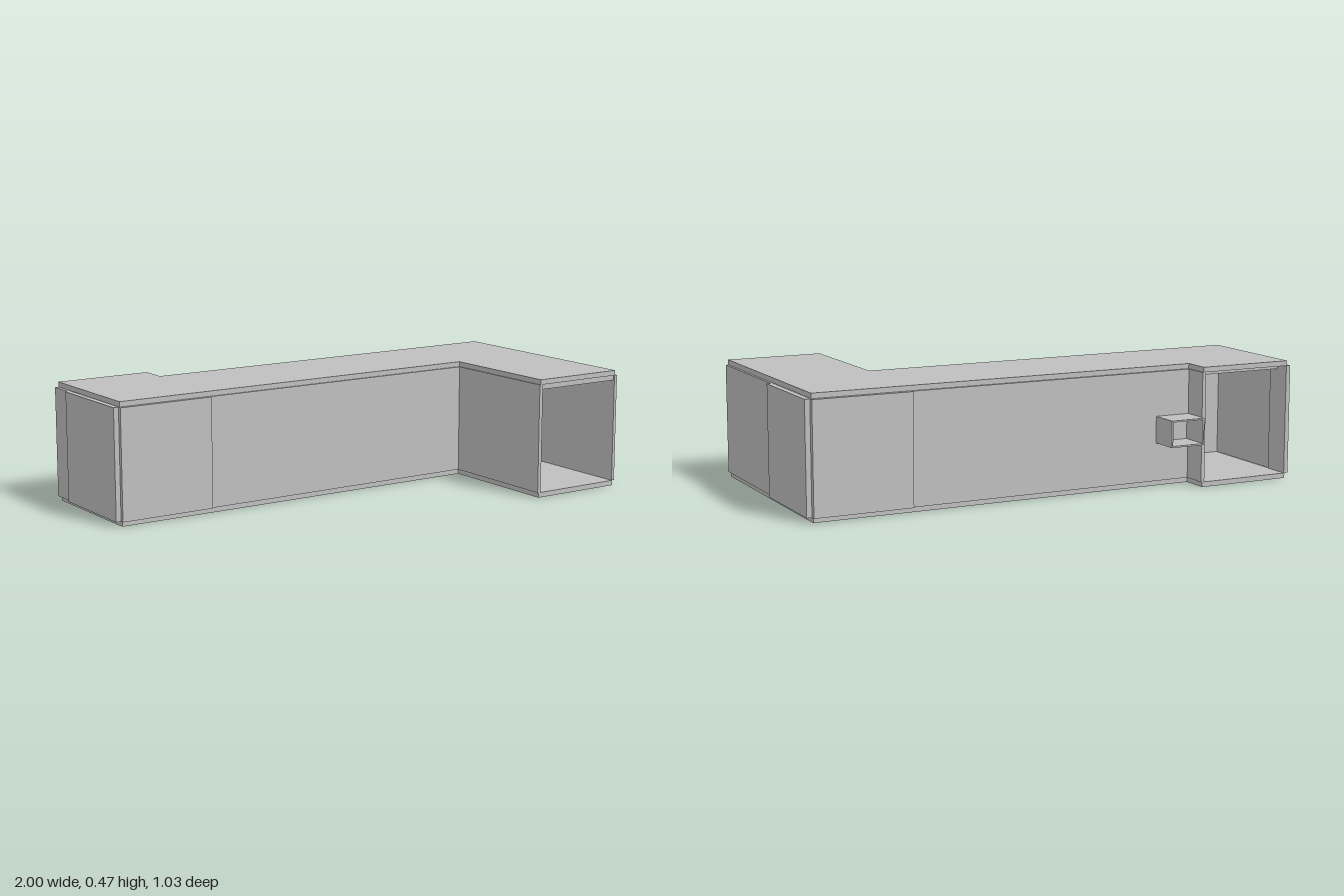
import * as THREE from 'three';

const grey = new THREE.MeshStandardMaterial({ color: 0xbfbfbf, side: THREE.DoubleSide });
grey.name = 'light grey';

// Box given by its lower and upper limits on each axis
function block(name, [x0, x1], [y0, y1], [z0, z1]) {
  const mesh = new THREE.Mesh(new THREE.BoxGeometry(x1 - x0, y1 - y0, z1 - z0), grey);
  mesh.position.set((x0 + x1) / 2, (y0 + y1) / 2, (z0 + z1) / 2);
  mesh.name = name;
  return mesh;
}

// Z-shaped slab that closes the corridor above and below
function slab(name, y, height) {
  const outline = [
    [-0.975, 0], [0.59, 0], [0.59, 0.515], [0.975, 0.515],
    [0.975, -0.39], [-0.59, -0.39], [-0.59, -0.5], [-0.975, -0.5],
  ];
  const shape = new THREE.Shape(outline.map(([x, z]) => new THREE.Vector2(x, -z)));
  const geometry = new THREE.ExtrudeGeometry(shape, { depth: height, bevelEnabled: false });
  geometry.rotateX(-Math.PI / 2);
  const mesh = new THREE.Mesh(geometry, grey);
  mesh.position.y = y;
  mesh.name = name;
  return mesh;
}

export function createModel() {
  const model = new THREE.Group();
  model.name = 'corridor';

  model.add(slab('floor', 0, 0.02), slab('ceiling', 0.45, 0.02));

  // Upright wall panels, as x and z limits
  const wallHeight = [0.02, 0.45];
  const walls = [
    ['frontLongWall', [-0.595, 0.59], [-0.008, 0.007]],
    ['frontEndWall', [-0.98, -0.595], [-0.008, 0.015]],
    ['backLongWall', [-0.59, 0.59], [-0.4, -0.385]],
    ['backEndWall', [0.59, 0.98], [-0.41, -0.387]],
    ['leftMainWall', [0.977, 1], [-0.39, 0]],
    ['leftBranchWall', [0.972, 0.985], [0, 0.515]],
    ['frontBranchInnerWall', [0.585, 0.6], [0, 0.515]],
    ['rightMainWall', [-1, -0.977], [-0.39, 0]],
    ['rightBranchWall', [-0.99, -0.972], [-0.5, -0.39]],
    ['backBranchInnerWall', [-0.6, -0.585], [-0.5, -0.39]],
  ];
  for (const [name, x, z] of walls) model.add(block(name, x, wallHeight, z));

  // Narrow beams under the ceiling at both openings
  model.add(block('frontLintel', [0.6, 0.972], [0.43, 0.455], [0.495, 0.51]));
  model.add(block('backLintel', [-0.972, -0.6], [0.43, 0.455], [-0.44, -0.42]));

  // Small open duct that passes through the back wall
  const duct = new THREE.Group();
  duct.name = 'sideDuct';
  const z = [-0.517, -0.22];
  duct.add(
    block('ductBottom', [-0.585, -0.44], [0.17, 0.176], z),
    block('ductTop', [-0.585, -0.44], [0.269, 0.275], z),
    block('ductLeft', [-0.446, -0.44], [0.176, 0.269], z),
    block('ductRight', [-0.585, -0.579], [0.176, 0.269], z),
  );
  model.add(duct);
  return model;
}
